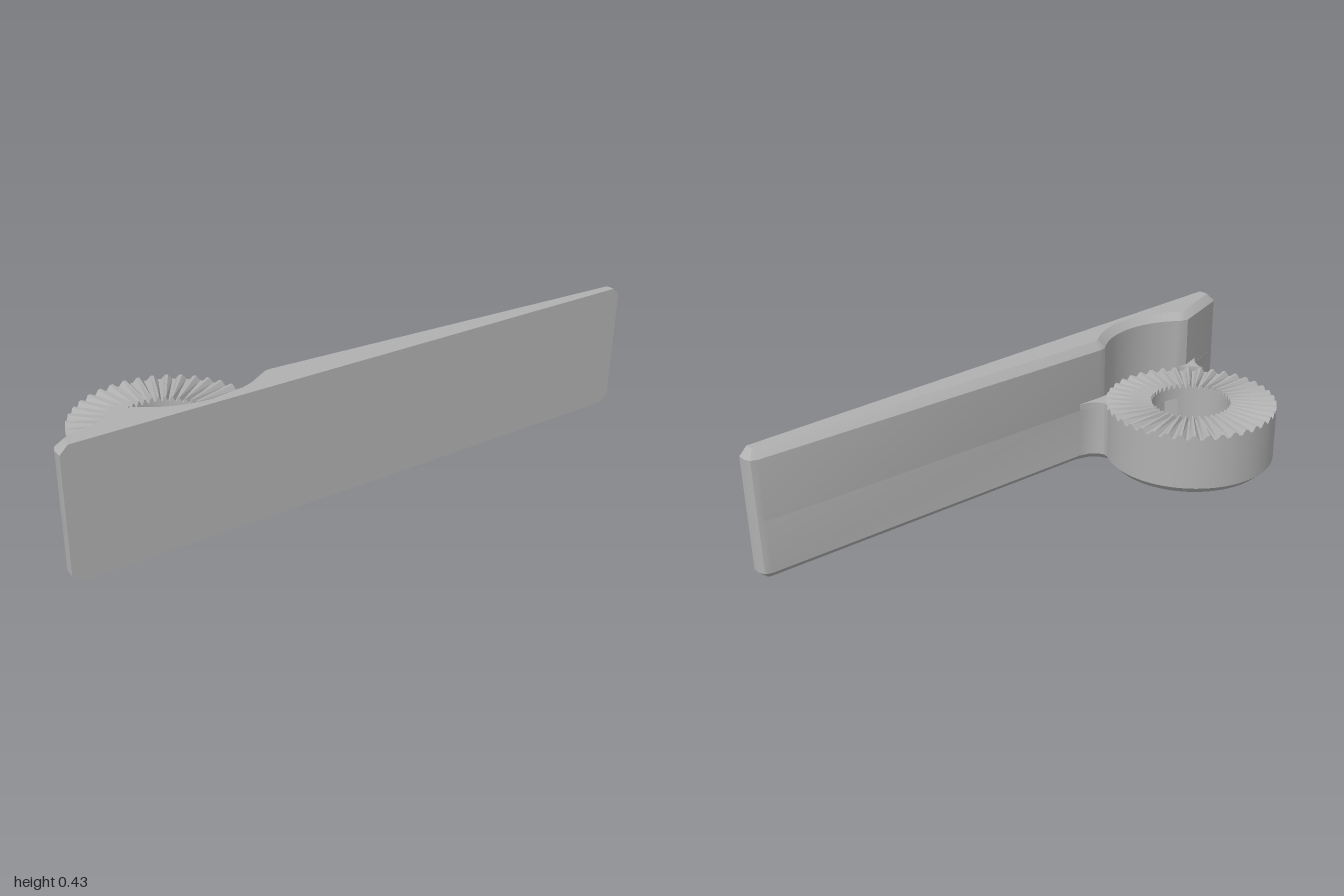
import * as THREE from 'three';
import { toCreasedNormals } from 'three/addons/utils/BufferGeometryUtils.js';

const CX = -0.535, CZ = -0.028;            // ring centre
const R_OUT = 0.297, R_IN = 0.138, R_SEAT = 0.303;
const BEVEL = 0.026, FRONT = 0.325;
const rad = THREE.MathUtils.degToRad;

// Points on a circle about the ring centre, angles in degrees
function arc(r, from, to, n) {
  return Array.from({ length: n + 1 }, (_, i) => {
    const a = rad(from + (to - from) * i / n);
    return [CX + r * Math.cos(a), CZ + r * Math.sin(a)];
  });
}

// Shrink an outline, leaving the flat front edge where it is
function inset(pts, d) {
  const n = pts.length;
  const edge = i => {
    const a = pts[i], b = pts[(i + 1) % n];
    const l = Math.hypot(b[0] - a[0], b[1] - a[1]);
    const front = a[1] === FRONT && b[1] === FRONT;
    return [-(b[1] - a[1]) / l, (b[0] - a[0]) / l, front ? 0 : -d];
  };
  return pts.map((p, i) => {
    const [ax, az, ad] = edge((i + n - 1) % n), [bx, bz, bd] = edge(i);
    const det = ax * bz - az * bx;
    if (Math.abs(det) < 1e-3) return [p[0] + ax * ad, p[1] + az * ad];
    return [p[0] + (ad * bz - bd * az) / det, p[1] + (ax * bd - bx * ad) / det];
  });
}

// Walls between successive [y, outline] levels
function walls(out, levels) {
  for (let k = 0; k + 1 < levels.length; k++) {
    const [y0, lo] = levels[k], [y1, hi] = levels[k + 1];
    lo.forEach((a, i) => {
      const j = (i + 1) % lo.length, b = lo[j], c = hi[j], d = hi[i];
      out.push(a[0], y0, a[1], b[0], y0, b[1], c[0], y1, c[1]);
      out.push(a[0], y0, a[1], c[0], y1, c[1], d[0], y1, d[1]);
    });
  }
}

// Flat face closing an outline, facing up or down
function cap(out, y, outline, hole, up) {
  const vec = list => list.map(p => new THREE.Vector2(p[0], p[1]));
  const contour = vec(outline), holes = hole ? [vec(hole)] : [];
  const all = [...contour, ...holes.flat()];
  for (const f of THREE.ShapeUtils.triangulateShape(contour, holes)) {
    const t = f.map(i => all[i]);
    const area = (t[1].x - t[0].x) * (t[2].y - t[0].y) - (t[1].y - t[0].y) * (t[2].x - t[0].x);
    if ((area < 0) !== up) t.reverse();
    t.forEach(p => out.push(p.x, y, p.y));
  }
}

function toGeometry(positions, crease = 28) {
  const g = new THREE.BufferGeometry();
  g.setAttribute('position', new THREE.Float32BufferAttribute(positions, 3));
  return toCreasedNormals(g, rad(crease));
}

// Shared outline pieces, as [x, z]
const frontEdge = [[-1, FRONT], [1, FRONT]];
const rightEnd = [[1, 0.298], [0.992, 0.279], [0.972, 0.27]];
const leftEnd = [[-0.975, 0.261], [-0.993, 0.271], [-1, 0.29]];
const rightFillet = [[-0.22, 0.204], [-0.258, 0.191], [-0.28, 0.17], [-0.288, 0.152]];
const leftFillet = [[-0.782, 0.152], [-0.79, 0.168], [-0.806, 0.194], [-0.835, 0.217]];
const seatRight = [-0.31, 0.199], seatLeft = [-0.76, 0.195];

// Hole outline with a key slot on the front side
function holeLoop(r, slotted) {
  const half = 0.07, a = THREE.MathUtils.radToDeg(Math.asin(half / r));
  const slot = slotted
    ? Array.from({ length: 9 }, (_, i) => [CX + half - 2 * half * i / 8, CZ + 0.184])
    : arc(r, 90 - a, 90 + a, 8);
  return [...arc(r, 90 + a, 450 - a, 56), ...slot];
}

// Lower body: plate foot and ring in one piece
function bodyGeometry() {
  const out = [], top = 0.204;
  const outline = [...frontEdge, ...rightEnd, ...rightFillet,
    ...arc(R_OUT, 33, -213, 80), ...leftFillet, ...leftEnd];
  const foot = inset(outline, BEVEL);
  const holeFoot = holeLoop(0.197, false), hole = holeLoop(R_IN, false), slot = holeLoop(R_IN, true);
  walls(out, [[0, foot], [BEVEL, outline], [top, outline]]);
  walls(out, [[0, holeFoot], [0.06, slot], [0.164, slot], [0.164, hole], [top, hole]]);
  cap(out, 0, foot, holeFoot, false);
  cap(out, top, outline, hole, true);
  return toGeometry(out);
}

// Upper plate with a hollow that clears the ring
function plateGeometry() {
  const out = [], top = 0.426;
  const outline = [...frontEdge, ...rightEnd, seatRight,
    ...arc(R_SEAT, 50, 130, 24), seatLeft, ...leftEnd];
  const rim = inset(outline, BEVEL);
  walls(out, [[0.2, outline], [top - BEVEL, outline], [top, rim]]);
  cap(out, top, rim, null, true);
  return toGeometry(out);
}

// Small web between ring and plate
function webGeometry(outline) {
  const out = [];
  walls(out, [[0.2, outline], [0.223, outline]]);
  cap(out, 0.223, outline, null, true);
  return toGeometry(out);
}

// Radial serrations on top of the ring
function teethGeometry(count = 40) {
  const out = [], base = 0.203, low = 0.205, high = 0.22;
  const steps = [[0, high], [0.22, high], [0.5, low], [0.72, low]];
  const stations = [];
  for (let i = 0; i < count; i++) {
    for (const [f, y] of steps) stations.push([(i + f) / count * Math.PI * 2, y]);
  }
  const at = (r, [a], y) => [CX + r * Math.cos(a), y, CZ + r * Math.sin(a)];
  const quad = (a, b, c, d) => out.push(...a, ...b, ...c, ...a, ...c, ...d);
  stations.forEach((s, i) => {
    const t = stations[(i + 1) % stations.length];
    quad(at(R_IN, s, s[1]), at(R_IN, t, t[1]), at(R_OUT, t, t[1]), at(R_OUT, s, s[1]));
    quad(at(R_OUT, s, base), at(R_OUT, s, s[1]), at(R_OUT, t, t[1]), at(R_OUT, t, base));
    quad(at(R_IN, s, base), at(R_IN, t, base), at(R_IN, t, t[1]), at(R_IN, s, s[1]));
  });
  return toGeometry(out, 15);
}

export function createModel() {
  const grey = new THREE.MeshStandardMaterial({ color: 0xb0b0b0 });
  grey.name = 'grey';
  const model = new THREE.Group();
  model.name = 'serratedLever';
  const add = (name, geometry) => {
    const mesh = new THREE.Mesh(geometry, grey);
    mesh.name = name;
    model.add(mesh);
  };
  add('ringBody', bodyGeometry());
  add('plate', plateGeometry());
  add('teeth', teethGeometry());
  add('leftWeb', webGeometry([...rightFillet, ...arc(R_OUT, 33, 50, 4), seatRight]));
  add('rightWeb', webGeometry([...arc(R_OUT, 130, 147, 4), ...leftFillet, seatLeft]));
  return model;
}
